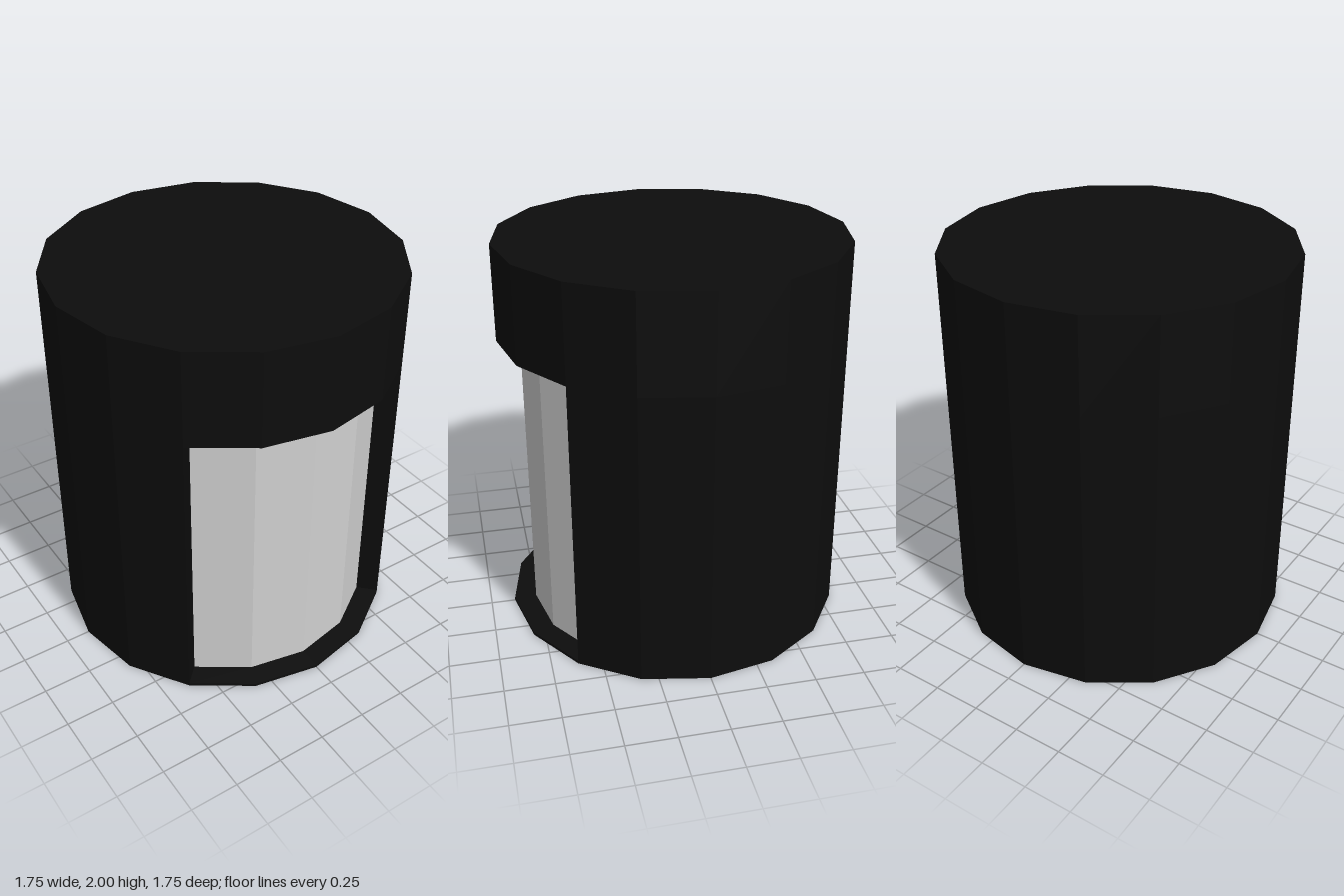
import * as THREE from 'three';

const SIDES = 16;
const OUTER = 0.875, INNER = 0.76, HEIGHT = 2;
const SILL = 0.015, LINTEL = 1.515;   // window bottom and top
const HALF = Math.PI / 4;             // window half angle

export function createModel() {
  const model = new THREE.Group();
  model.name = 'canister';

  const material = (name, color) => new THREE.MeshStandardMaterial({
    name, color, flatShading: true, side: THREE.DoubleSide });
  const black = material('casing black', 0x0d0d0d);
  const grey = material('core grey', 0x383838);
  const light = material('panel light grey', 0xd0d0d0);

  const add = (name, geometry, mat) => {
    const mesh = new THREE.Mesh(geometry, mat);
    mesh.name = name;
    model.add(mesh);
    return mesh;
  };

  // Open faceted wall between two heights, over part of the circle
  const wall = (name, mat, r, y0, y1, start = 0, arc = Math.PI * 2) => {
    const segments = Math.round(SIDES * arc / (Math.PI * 2));
    const g = new THREE.CylinderGeometry(r, r, y1 - y0, segments, 1, true, start, arc);
    g.translate(0, (y0 + y1) / 2, 0);
    return add(name, g, mat);
  };
  const around = Math.PI * 2 - 2 * HALF;

  // Outer casing with the window left out at the front
  wall('casingTopBand', black, OUTER, LINTEL, HEIGHT);
  wall('casingWall', black, OUTER, SILL, LINTEL, HALF, around);
  wall('casingBaseStrip', black, OUTER, 0, SILL);

  // Lid
  const lid = new THREE.CircleGeometry(OUTER, SIDES);
  lid.rotateX(-Math.PI / 2);
  add('lid', lid, black).position.y = HEIGHT;

  // Window sill and lintel
  for (const [name, y] of [['windowSill', SILL], ['windowLintel', LINTEL]]) {
    const ring = new THREE.RingGeometry(INNER, OUTER, 4, 1, -Math.PI / 2 - HALF, 2 * HALF);
    ring.rotateX(-Math.PI / 2);
    add(name, ring, black).position.y = y;
  }

  // Radial window sides
  for (const side of [-1, 1]) {
    const g = new THREE.PlaneGeometry(OUTER - INNER, LINTEL - SILL);
    g.translate((OUTER + INNER) / 2, (LINTEL + SILL) / 2, 0);
    const jamb = add(side > 0 ? 'leftWindowSide' : 'rightWindowSide', g, black);
    jamb.rotation.y = -Math.PI / 2 + side * HALF;
  }

  // Inner core, with the light panel facing the window
  wall('corePanel', light, INNER, SILL, LINTEL, -HALF, 2 * HALF);
  wall('coreWall', grey, INNER, SILL, LINTEL, HALF, around);
  const base = new THREE.CircleGeometry(INNER, SIDES);
  base.rotateX(Math.PI / 2);
  add('coreBase', base, grey).position.y = SILL;

  return model;
}
